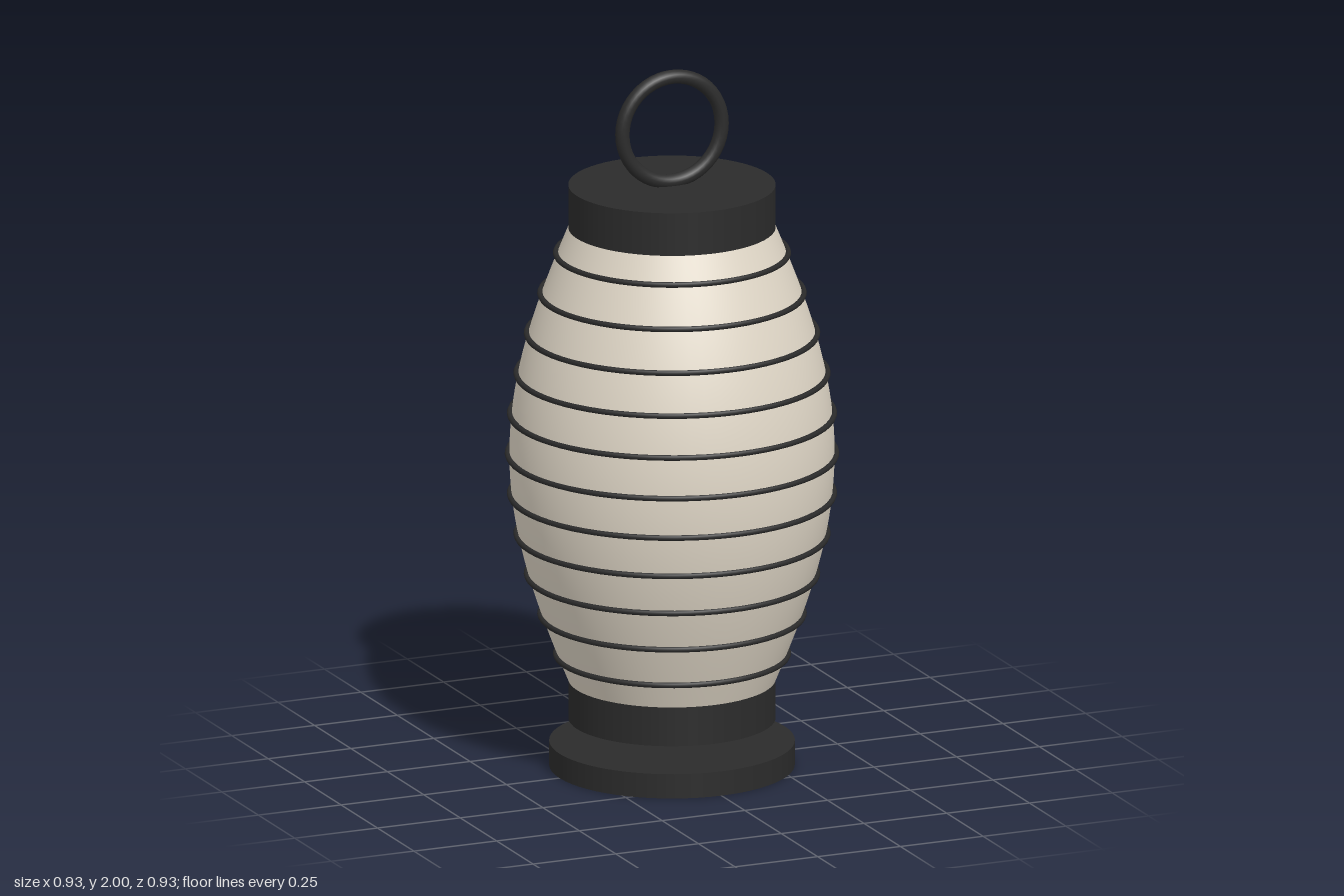
import * as THREE from 'three';

export function createModel() {
  const lantern = new THREE.Group();
  lantern.name = 'paperLantern';

  const paper = new THREE.MeshStandardMaterial({ color: 0xe0d7c7, side: THREE.DoubleSide });
  paper.name = 'cream paper';
  const black = new THREE.MeshStandardMaterial({ color: 0x2b2b2b });
  black.name = 'black lacquer';

  const add = (name, geometry, material, y) => {
    const mesh = new THREE.Mesh(geometry, material);
    mesh.name = name;
    mesh.position.y = y;
    lantern.add(mesh);
    return mesh;
  };
  const disc = (name, radius, bottom, top) =>
    add(name, new THREE.CylinderGeometry(radius, radius, top - bottom, 64), black, (bottom + top) / 2);

  // Bulging paper body: radius follows a half sine wave
  const bodyBottom = 0.205, bodyHeight = 1.384, sections = 12;
  const bodyRadius = (t) => 0.27 + 0.18 * Math.sin(Math.PI * t);
  const profile = [];
  for (let i = 0; i <= 48; i++) {
    profile.push(new THREE.Vector2(bodyRadius(i / 48), (i / 48) * bodyHeight));
  }
  add('paperBody', new THREE.LatheGeometry(profile, 64), paper, bodyBottom);

  // Thin hoops around the paper, evenly spaced
  for (let i = 1; i < sections; i++) {
    const t = i / sections;
    const hoop = new THREE.TorusGeometry(bodyRadius(t) + 0.005, 0.008, 8, 64);
    hoop.rotateX(Math.PI / 2);
    add('hoop' + i, hoop, black, bodyBottom + t * bodyHeight);
  }

  // Collars closing the body, and the separate disc hanging below
  disc('topCap', 0.287, 1.545, 1.67);
  disc('bottomCap', 0.287, 0.135, 0.25);
  disc('baseDisc', 0.34, 0, 0.07);

  // Upright carrying ring
  add('handleRing', new THREE.TorusGeometry(0.15, 0.02, 12, 48), black, 1.83);

  return lantern;
}
